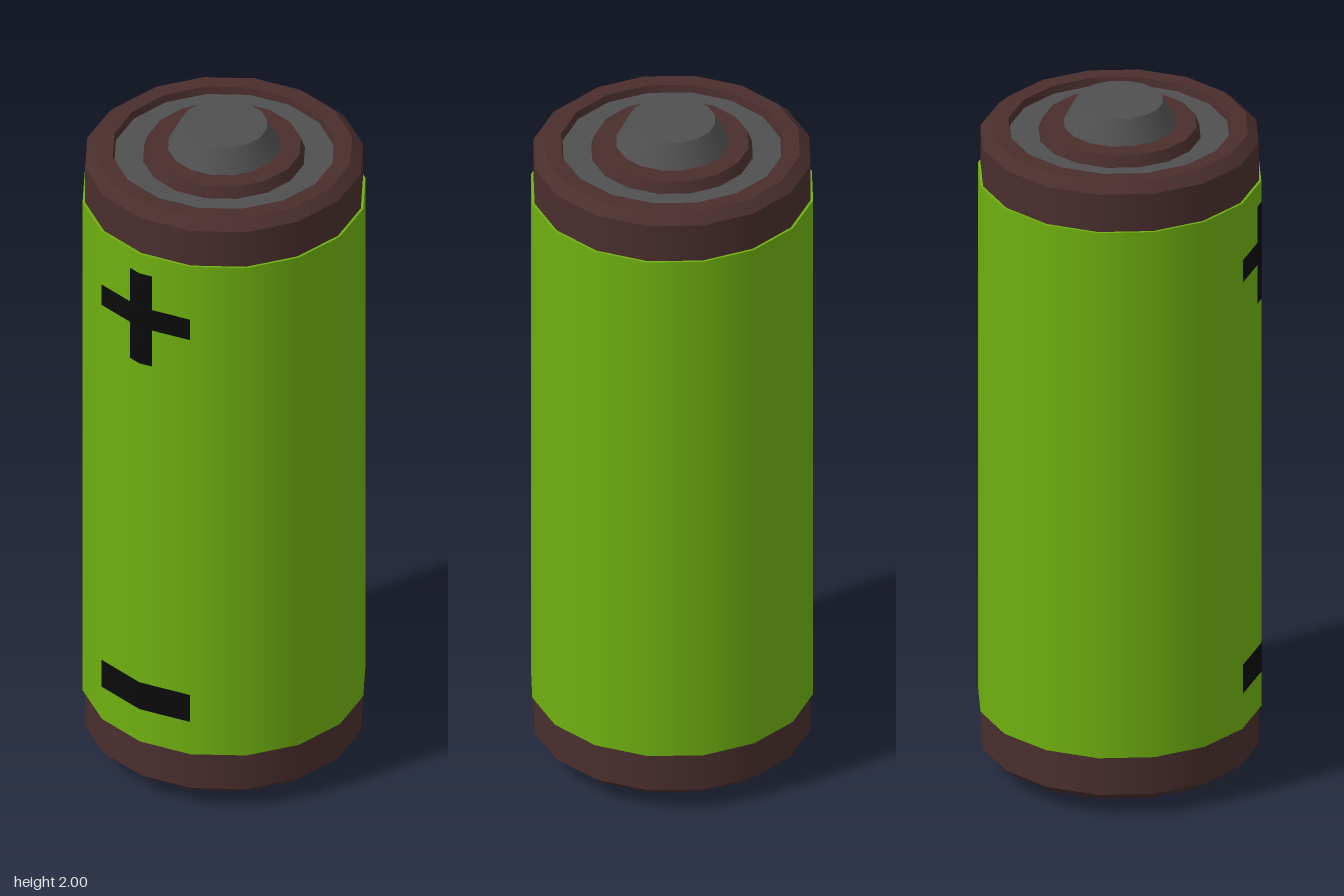
import * as THREE from 'three';
import { mergeGeometries } from 'three/addons/utils/BufferGeometryUtils.js';

const SIDES = 16;
const R = 0.392; // sleeve radius

const material = (color) => new THREE.MeshStandardMaterial({ color });
const green = material(0x6fb010);
const brown = material(0x4a2e2e);
const grey = material(0x505050);
const black = material(0x0a0a0a);
black.side = THREE.DoubleSide;

// Turned part: smooth around the axis, sharp between profile segments.
// Profile [r, y] runs with the outside on its right-hand side.
function turned(name, mat, profile) {
  const bands = [];
  for (let i = 0; i < profile.length - 1; i++) {
    const pair = [profile[i], profile[i + 1]].map(([r, y]) => new THREE.Vector2(r, y));
    bands.push(new THREE.LatheGeometry(pair, SIDES));
  }
  const mesh = new THREE.Mesh(mergeGeometries(bands), mat);
  mesh.name = name;
  return mesh;
}

// Flat strip folded over the front ridge of the sleeve, just above its surface.
function strip(halfWidth, y0, y1) {
  const g = new THREE.PlaneGeometry(halfWidth * 2, y1 - y0, 2, 1);
  g.translate(0, (y0 + y1) / 2, 0);
  const p = g.attributes.position;
  const slope = Math.tan(Math.PI / SIDES);
  for (let i = 0; i < p.count; i++) p.setZ(i, R + 0.002 - Math.abs(p.getX(i)) * slope);
  g.computeVertexNormals();
  return g;
}

function mark(name, strips) {
  const mesh = new THREE.Mesh(mergeGeometries(strips), black);
  mesh.name = name;
  return mesh;
}

export function createModel() {
  const model = new THREE.Group();
  model.name = 'battery';

  model.add(
    // Sleeve with thin lips at both ends
    turned('sleeve', green, [[0.38, 0.185], [R, 0.185], [R, 1.782], [0.38, 1.782]]),

    // Upper end
    turned('topCap', brown, [
      [0.385, 1.77], [0.385, 1.895], [0.355, 1.922], [0.308, 1.922], [0.303, 1.895],
    ]),
    turned('topDisc', grey, [[0.306, 1.9], [0.2, 1.9]]),
    turned('topRing', brown, [[0.226, 1.895], [0.213, 1.932], [0.14, 1.932]]),
    turned('positiveTerminal', grey, [[0.156, 1.93], [0.12, 2], [0, 2]]),

    // Lower end
    turned('bottomCap', brown, [
      [0.305, 0.07], [0.31, 0.045], [0.355, 0.045], [0.385, 0.07], [0.385, 0.2],
    ]),
    turned('bottomDisc', grey, [[0.24, 0.065], [0.308, 0.065]]),
    turned('bottomRing', brown, [[0.17, 0.034], [0.267, 0.034], [0.28, 0.068]]),
    turned('negativeTerminal', grey, [[0, 0], [0.18, 0], [0.198, 0.036]]),

    // Polarity marks
    mark('positiveMark', [
      strip(0.15, 1.543, 1.61), strip(0.037, 1.61, 1.72), strip(0.037, 1.425, 1.543),
    ]),
    mark('negativeMark', [strip(0.15, 0.292, 0.38)]),
  );
  return model;
}
